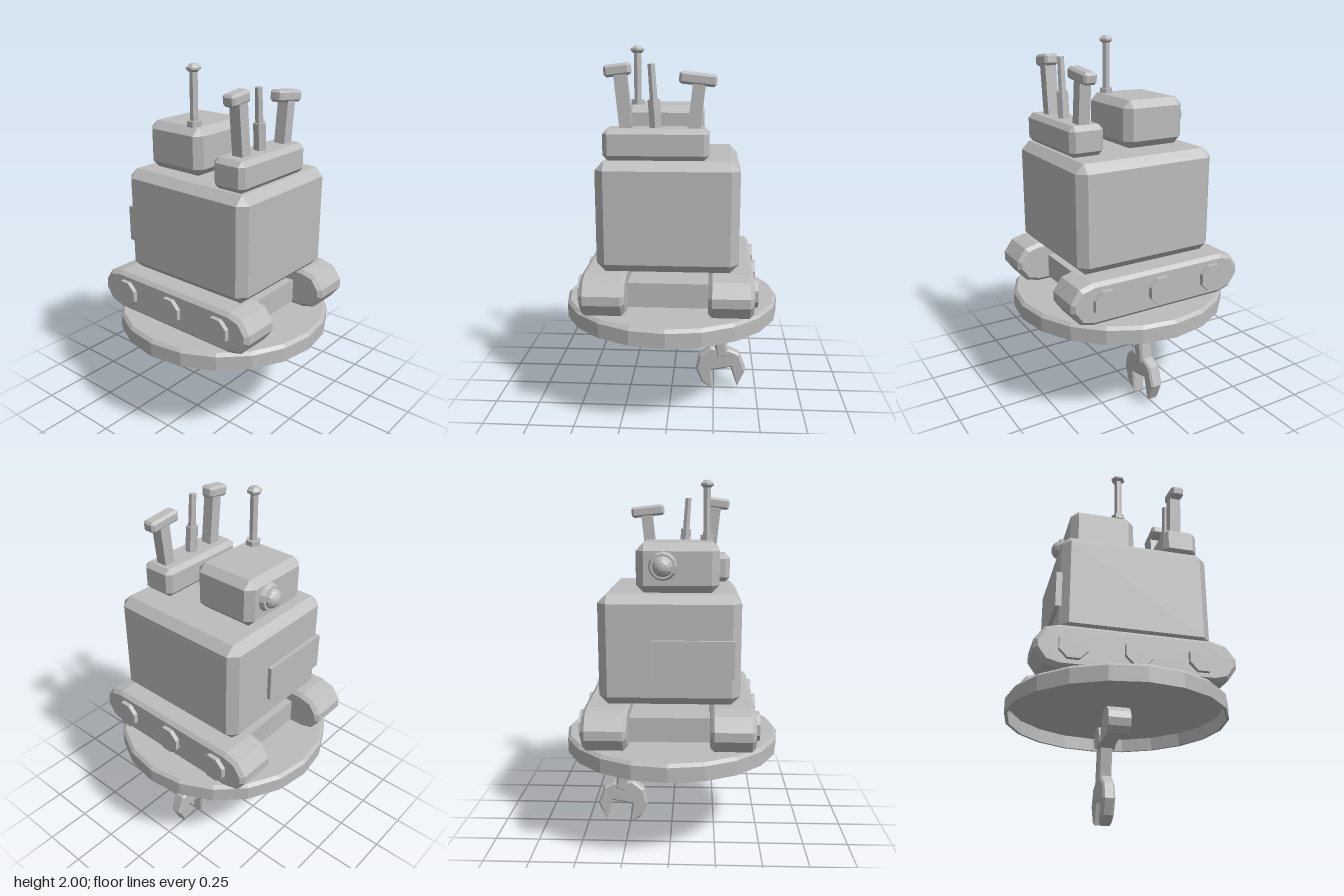
import * as THREE from 'three';
import { ConvexGeometry } from 'three/addons/geometries/ConvexGeometry.js';

export function createModel() {
  const model = new THREE.Group();
  const grey = new THREE.MeshStandardMaterial({ color: 0xbcbcbc, flatShading: true });
  grey.name = 'plain grey';

  function add(name, geometry, x = 0, y = 0, z = 0, parent = model) {
    const mesh = new THREE.Mesh(geometry, grey);
    mesh.name = name;
    mesh.position.set(x, y, z);
    parent.add(mesh);
    return mesh;
  }

  // box with chamfered edges and triangular corners
  function chamferBox(w, h, d, b) {
    const points = [];
    for (const i of [-1, 1]) for (const j of [-1, 1]) for (const k of [-1, 1]) {
      const [x, y, z] = [w / 2, h / 2, d / 2];
      points.push(
        new THREE.Vector3(i * x, j * (y - b), k * (z - b)),
        new THREE.Vector3(i * (x - b), j * y, k * (z - b)),
        new THREE.Vector3(i * (x - b), j * (y - b), k * z));
    }
    return new ConvexGeometry(points);
  }

  // chamfered plate from an outline, centred on its thickness
  function plate(outline, thickness, bevel) {
    const shape = new THREE.Shape(outline.map(([x, y]) => new THREE.Vector2(x, y)));
    const g = new THREE.ExtrudeGeometry(shape, {
      depth: thickness - 2 * bevel, bevelEnabled: true, bevelSegments: 1,
      bevelSize: bevel, bevelThickness: bevel, bevelOffset: -bevel,
    });
    return g.translate(0, 0, bevel - thickness / 2);
  }

  // straight part between two points in a plane of constant z
  function between(name, geometryOf, [x1, y1], [x2, y2], z) {
    const mesh = add(name, geometryOf(Math.hypot(x2 - x1, y2 - y1)), (x1 + x2) / 2, (y1 + y2) / 2, z);
    mesh.rotation.z = -Math.atan2(x2 - x1, y2 - y1);
    return mesh;
  }

  const box = (x0, x1, y0, y1, z0, z1, b, name) =>
    add(name, b ? chamferBox(x1 - x0, y1 - y0, z1 - z0, b) : new THREE.BoxGeometry(x1 - x0, y1 - y0, z1 - z0),
      (x0 + x1) / 2, (y0 + y1) / 2, (z0 + z1) / 2);

  // body, head, console and rear panel
  box(-0.37, 0.37, 0.85, 1.43, -0.39, 0.43, 0.046, 'body');
  box(-0.255, 0.175, 1.43, 1.685, -0.325, 0.045, 0.04, 'head');
  box(-0.33, 0.21, 1.43, 1.59, 0.195, 0.39, 0.026, 'console');
  box(-0.335, 0.095, 1.0, 1.2, -0.412, -0.38, 0, 'rearPanel');

  // lamp on the back of the head
  const flange = new THREE.CylinderGeometry(0.065, 0.076, 0.028, 12).rotateX(-Math.PI / 2);
  add('lampRing', flange, 0.035, 1.57, -0.337);
  const dome = new THREE.SphereGeometry(0.054, 12, 4, 0, Math.PI * 2, 0, Math.PI / 2);
  add('lampDome', dome.scale(1, 0.85, 1).rotateX(-Math.PI / 2), 0.035, 1.57, -0.346);

  // antenna
  add('antennaBase', new THREE.CylinderGeometry(0.04, 0.04, 0.03, 6), -0.19, 1.697, -0.04);
  add('antennaRod', new THREE.CylinderGeometry(0.022, 0.022, 0.28, 6), -0.19, 1.83, -0.04);
  const cap = [[0, 1.96], [0.025, 1.96], [0.04, 1.972], [0.04, 1.982], [0.02, 1.998], [0, 2]];
  add('antennaCap', new THREE.LatheGeometry(cap.map(p => new THREE.Vector2(...p)), 6), -0.19, 0, -0.04);

  // two T levers and a stepped middle lever
  const leverZ = 0.292;
  for (const [foot, top, handle, width, tilt] of [
    [[-0.213, 1.57], [-0.242, 1.86], [-0.256, 1.876], 0.135, 0.12],
    [[0.13, 1.57], [0.157, 1.82], [0.15, 1.832], 0.19, -0.11],
  ]) {
    between('leverStem', l => new THREE.BoxGeometry(0.064, l, 0.064), foot, top, leverZ);
    add('leverHandle', chamferBox(width, 0.062, 0.076, 0.013), ...handle, leverZ).rotation.z = tilt;
  }
  between('middleLeverSleeve', l => new THREE.CylinderGeometry(0.034, 0.034, l, 6), [-0.063, 1.57], [-0.074, 1.73], leverZ);
  between('middleLeverRod', l => new THREE.CylinderGeometry(0.02, 0.022, l, 6), [-0.073, 1.71], [-0.086, 1.906], leverZ);

  // tracks with wheels, joined by an axle block
  const end = [[0.4, 0.845], [0.475, 0.825], [0.525, 0.755], [0.525, 0.705], [0.475, 0.635], [0.4, 0.615]];
  const outline = [...end, ...end.map(([z, y]) => [-z, y]).reverse()];
  for (const side of [-1, 1]) {
    const name = side > 0 ? 'left' : 'right';
    add(name + 'Track', plate(outline, 0.235, 0.02).rotateY(Math.PI / 2), side * 0.3325);
    for (const z of [-0.333, 0, 0.333]) {
      const wheel = new THREE.CylinderGeometry(0.079, 0.079, 0.05, 8).rotateY(Math.PI / 8).rotateZ(Math.PI / 2);
      add(name + 'Wheel', wheel, side * 0.45, 0.73, z);
    }
  }
  box(-0.23, 0.23, 0.635, 0.77, -0.34, 0.34, 0, 'axleBlock');

  // platform, hollow underneath
  const rim = [[0, 0.59], [0.588, 0.59], [0.588, 0.515], [0.605, 0.515], [0.605, 0.595], [0.588, 0.612], [0, 0.612]];
  add('platform', new THREE.LatheGeometry(rim.map(p => new THREE.Vector2(...p)), 20));

  // jointed arm below the platform
  const joint = (name, r, depth, x, y) =>
    add(name, new THREE.CylinderGeometry(r, r, depth, 12).rotateX(Math.PI / 2), x, y, 0);
  joint('armHub', 0.083, 0.126, 0, 0.513);
  joint('armElbow', 0.064, 0.1, 0.253, 0.492);
  between('upperArm', l => new THREE.BoxGeometry(0.085, l, 0.085), [0, 0.51], [0.253, 0.477], 0);
  between('lowerArm', l => chamferBox(0.07, l, 0.08, 0.012), [0.257, 0.49], [0.302, 0.215], 0);

  // open jaw at the end of the arm
  const jaw = [[0.23, 0.275], [0.165, 0.222], [0.145, 0.135], [0.18, 0.05], [0.25, 0.005], [0.238, 0.128],
    [0.35, 0.15], [0.39, 0.03], [0.438, 0.135], [0.4, 0.235], [0.345, 0.262]];
  add('jaw', plate(jaw, 0.07, 0.011));

  return model;
}
